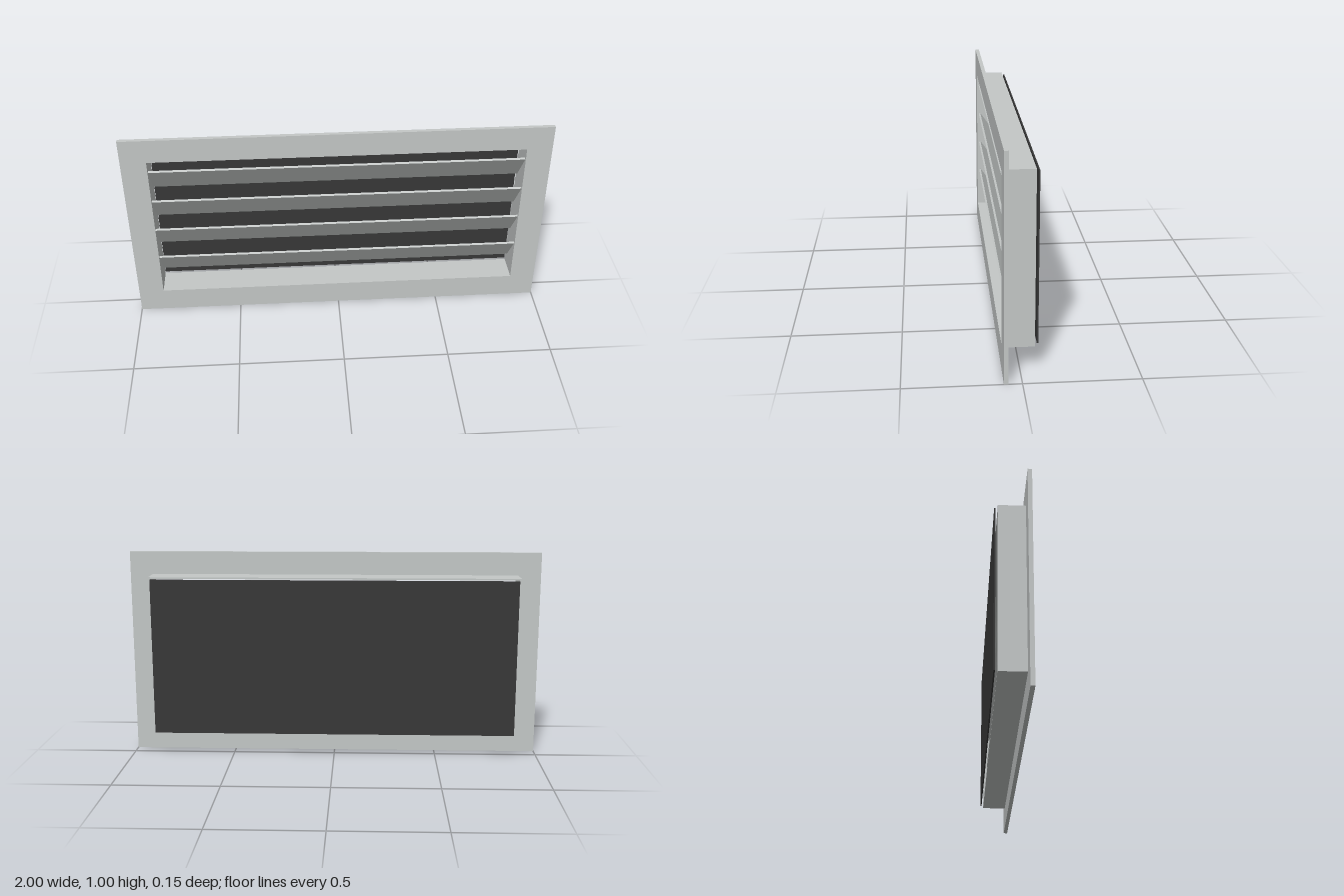
import * as THREE from 'three';

// Rectangular ring, centred on x = 0 and y = 0.5, running from z0 to z1
function ring(w, h, innerW, innerH, z0, z1) {
  const rect = (path, a, b) => path
    .moveTo(-a / 2, 0.5 - b / 2).lineTo(a / 2, 0.5 - b / 2)
    .lineTo(a / 2, 0.5 + b / 2).lineTo(-a / 2, 0.5 + b / 2).closePath();
  const shape = new THREE.Shape();
  rect(shape, w, h);
  const hole = new THREE.Path();
  rect(hole, innerW, innerH);
  shape.holes.push(hole);
  return new THREE.ExtrudeGeometry(shape, { depth: z1 - z0, bevelEnabled: false }).translate(0, 0, z0);
}

export function createModel() {
  const model = new THREE.Group();
  model.name = 'ventGrille';

  const metal = new THREE.MeshStandardMaterial({ color: 0xc4c8c7 });
  metal.name = 'paleGreyMetal';
  const dark = new THREE.MeshStandardMaterial({ color: 0x383838 });
  dark.name = 'darkBacking';

  const add = (name, geometry, material) => {
    const mesh = new THREE.Mesh(geometry, material);
    mesh.name = name;
    model.add(mesh);
    return mesh;
  };

  // Front flange and the duct sleeve behind it
  add('flange', ring(2, 1, 1.76, 0.765, 0.058, 0.077), metal);
  add('sleeve', ring(1.78, 0.78, 1.76, 0.765, -0.062, 0.058), metal);

  // Slanted blades, front edge high and back edge low
  const bladeGeometry = new THREE.BoxGeometry(1.76, 0.18, 0.01);
  for (let i = 0; i < 4; i++) {
    const blade = add('blade' + (i + 1), bladeGeometry, metal);
    blade.position.set(0, 0.25 + i / 6, 0.012);
    blade.rotation.x = THREE.MathUtils.degToRad(35);
  }

  // Thin dark panel floating just behind the sleeve
  add('backPanel', new THREE.BoxGeometry(1.76, 0.76, 0.006).translate(0, 0.5, -0.074), dark);

  return model;
}
